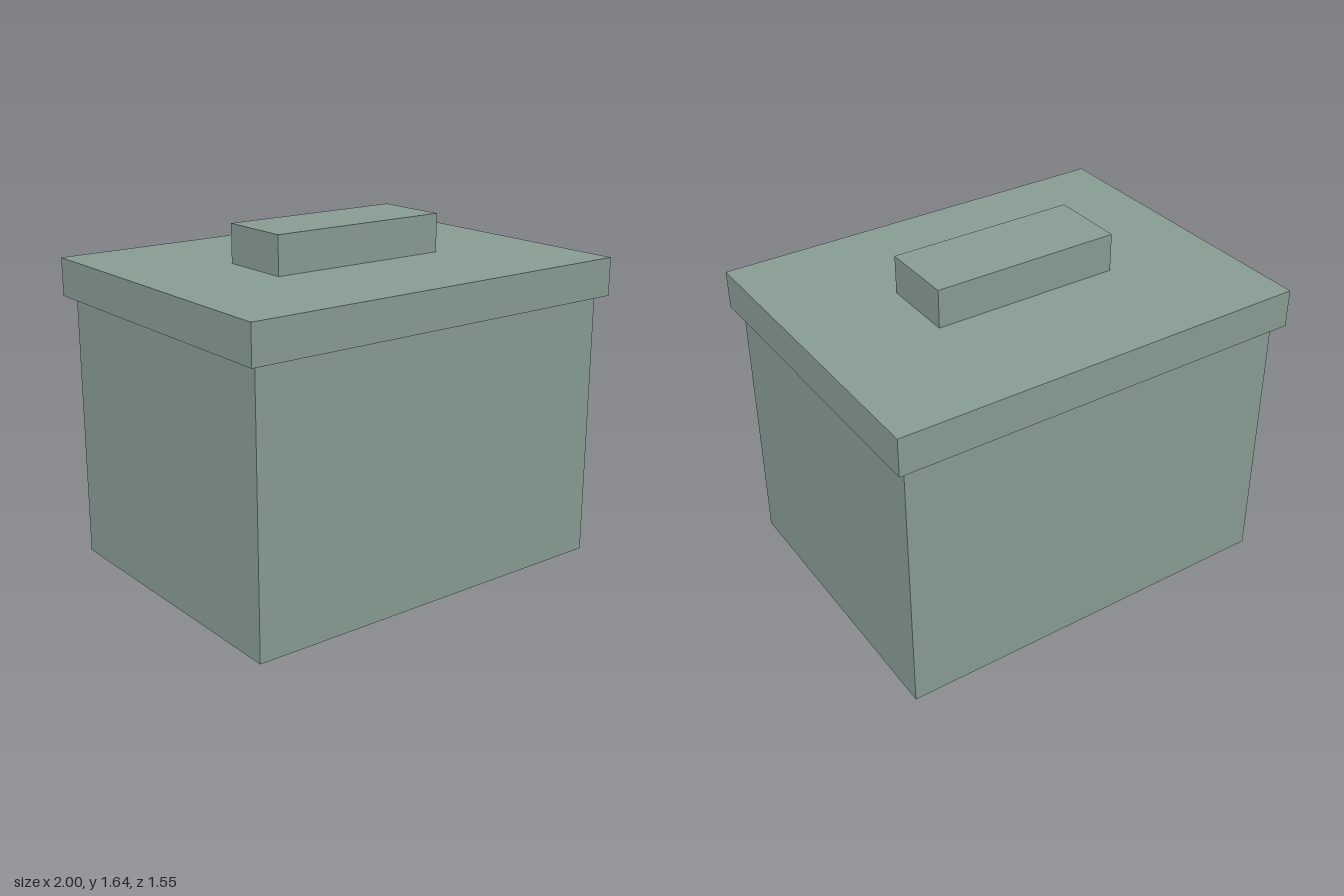
import * as THREE from 'three';

export function createModel() {
  const model = new THREE.Group();
  model.name = 'liddedBox';

  const greyGreen = new THREE.MeshStandardMaterial({ color: 0x879b93 });
  greyGreen.name = 'greyGreen';

  // Adds a block centred on x and z, standing on height y
  const addBlock = (name, width, height, depth, y) => {
    const mesh = new THREE.Mesh(new THREE.BoxGeometry(width, height, depth), greyGreen);
    mesh.name = name;
    mesh.position.y = y + height / 2;
    model.add(mesh);
  };

  // Box body, overhanging lid and the grip on top
  addBlock('body', 1.91, 1.275, 1.454, 0);
  addBlock('lid', 2, 0.18, 1.546, 1.275);
  addBlock('handle', 0.906, 0.182, 0.362, 1.455);

  return model;
}
